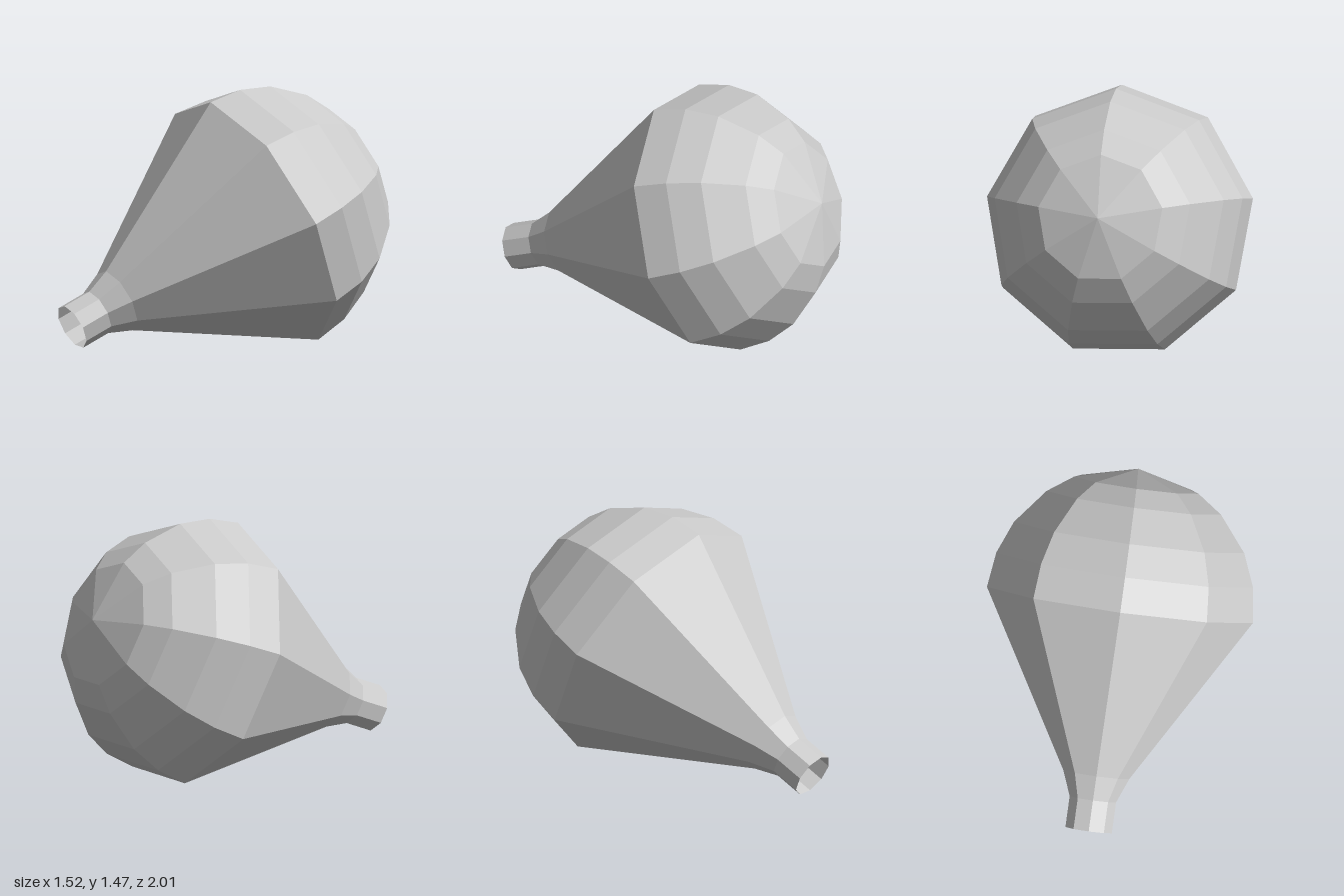
import * as THREE from 'three';

const SIDES = 9;
const RADIUS = 0.785;

export function createModel() {
  const model = new THREE.Group();
  model.name = 'tiltedBalloon';
  const material = new THREE.MeshStandardMaterial({
    color: 0xcccccc, flatShading: true, side: THREE.DoubleSide,
  });

  // Local y is the balloon's axis, local z points at one of its seams
  const axis = new THREE.Vector3(0.235, 0.402, -0.885).normalize();
  const seam = new THREE.Vector3(-0.044, 0.914, 0.414);
  seam.addScaledVector(axis, -seam.dot(axis)).normalize();
  const cross = new THREE.Vector3().crossVectors(axis, seam);

  const balloon = new THREE.Group();
  balloon.name = 'balloon';
  balloon.quaternion.setFromRotationMatrix(new THREE.Matrix4().makeBasis(cross, axis, seam));
  balloon.position.set(-0.006, 0.687, -0.223);
  model.add(balloon);

  // Each part is a nine-sided lathe of [radius, height] pairs
  const addPart = (name, profile) => {
    const points = profile.map(([r, y]) => new THREE.Vector2(r, y));
    const mesh = new THREE.Mesh(new THREE.LatheGeometry(points, SIDES), material);
    mesh.name = name;
    balloon.add(mesh);
  };

  // Open mouth, flaring into the cone
  addPart('neck', [[0.137, -1.32], [0.137, -1.14], [0.195, -0.995]]);

  // Long straight cone up to the widest ring
  addPart('cone', [[0.195, -0.995], [RADIUS, 0]]);

  // Hemisphere crown, rings given by their latitude in degrees
  const crown = [0, 15, 30, 49, 62, 90].map((deg) => {
    const a = THREE.MathUtils.degToRad(deg);
    return [deg === 90 ? 0 : RADIUS * Math.cos(a), RADIUS * Math.sin(a)];
  });
  addPart('crown', crown);

  return model;
}
